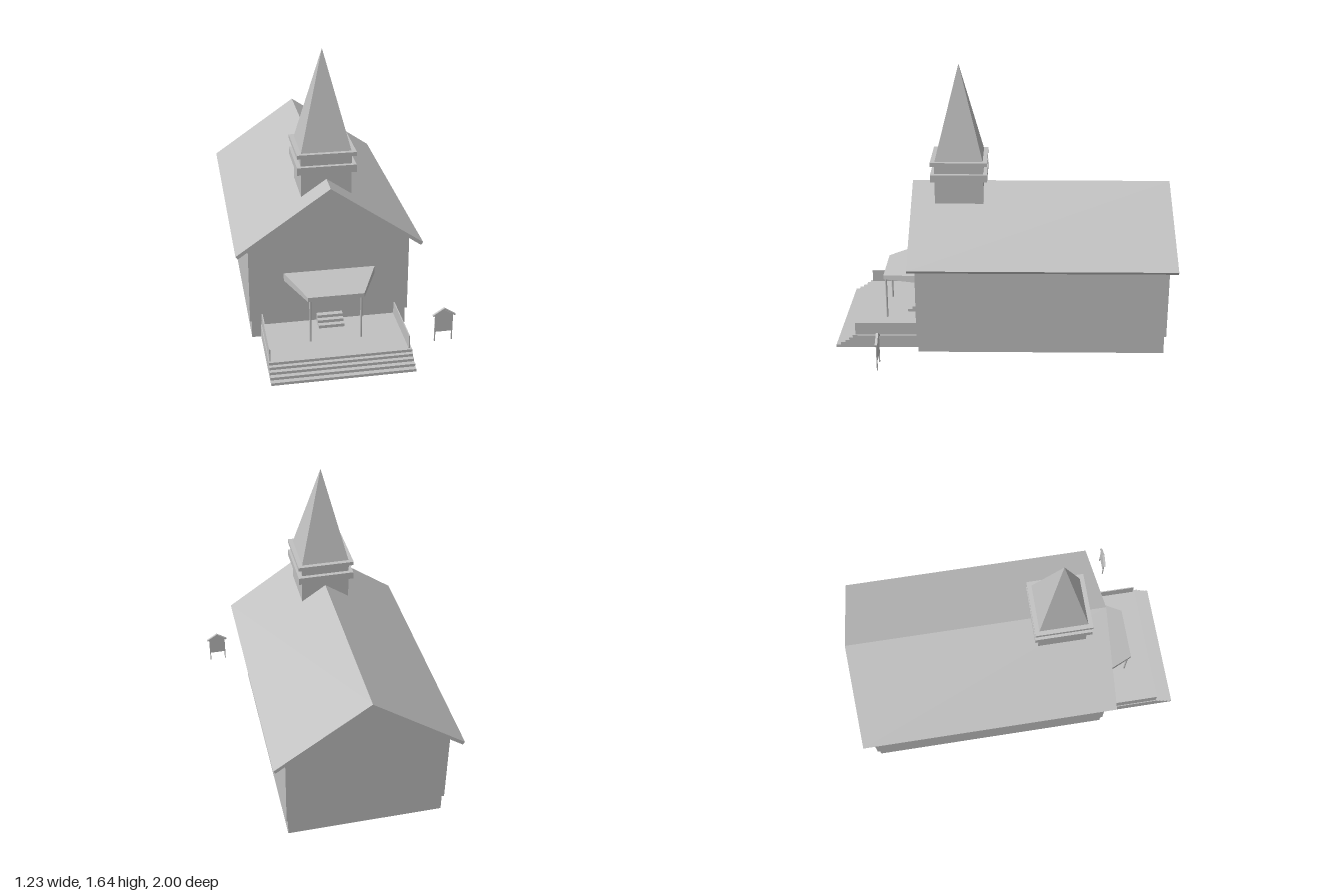
import * as THREE from 'three';

const CX = -0.08; // centre line of the building

export function createModel() {
  const root = new THREE.Group();
  root.name = 'church';
  const grey = new THREE.MeshStandardMaterial({ color: 0xc0c0c0, side: THREE.DoubleSide });
  grey.name = 'plain grey';

  const add = (name, geo, parent = root) => {
    const m = new THREE.Mesh(geo, grey);
    m.name = name;
    parent.add(m);
    return m;
  };
  const group = (name) => {
    const g = new THREE.Group();
    g.name = name;
    root.add(g);
    return g;
  };
  // Box given by its limits on each axis
  const box = (name, x0, x1, y0, y1, z0, z1, parent) => add(name,
    new THREE.BoxGeometry(x1 - x0, y1 - y0, z1 - z0)
      .translate((x0 + x1) / 2, (y0 + y1) / 2, (z0 + z1) / 2), parent);
  const shape = (pts) => new THREE.Shape(pts.map(([x, y]) => new THREE.Vector2(x, y)));
  // Outline in x/y, extruded from z0 to z1
  const slab = (name, pts, z0, z1, parent) => add(name,
    new THREE.ExtrudeGeometry(shape(pts), { depth: z1 - z0, bevelEnabled: false }).translate(0, 0, z0), parent);
  // Flat-shaded surface through rows of points
  const loft = (rows, closed) => {
    const pos = [];
    for (let i = 0; i < rows.length - 1; i++) {
      const n = rows[i].length;
      for (let j = 0; j < (closed ? n : n - 1); j++) {
        const k = (j + 1) % n;
        const a = rows[i][j], b = rows[i][k], c = rows[i + 1][k], d = rows[i + 1][j];
        pos.push(...a, ...b, ...c, ...a, ...c, ...d);
      }
    }
    const g = new THREE.BufferGeometry();
    g.setAttribute('position', new THREE.Float32BufferAttribute(pos, 3));
    g.computeVertexNormals();
    return g;
  };
  const rect = (y, hw, z0, z1) =>
    [[CX - hw, y, z1], [CX + hw, y, z1], [CX + hw, y, z0], [CX - hw, y, z0]];

  // Hollow building: foundation and walls, open underneath
  const body = group('building');
  add('foundation', loft([rect(0, 0.452, -0.95, 0.503), rect(0.11, 0.452, -0.95, 0.503),
    rect(0.11, 0.462, -0.96, 0.512)], true), body);
  add('walls', loft([rect(0.11, 0.462, -0.96, 0.512), rect(0.58, 0.462, -0.96, 0.512)], true), body);
  const gable = [[CX - 0.462, 0.58], [CX + 0.462, 0.58], [CX, 0.9]];
  add('frontGable', new THREE.ShapeGeometry(shape(gable)), body).position.z = 0.512;
  add('backGable', new THREE.ShapeGeometry(shape(gable)).rotateY(Math.PI).translate(2 * CX, 0, -0.96), body);

  // Pitched roof
  slab('roof', [[CX, 0.925], [CX - 0.534, 0.555], [CX - 0.522, 0.538], [CX, 0.902],
    [CX + 0.522, 0.538], [CX + 0.534, 0.555]], -1, 0.552, body);

  // Bell tower with two bands and a square spire
  const tower = group('steeple');
  const TZ = 0.266;
  const square = (name, h, y0, y1) => box(name, CX - h, CX + h, y0, y1, TZ - h, TZ + h, tower);
  square('towerShaft', 0.144, 0.825, 1.065);
  square('lowerBand', 0.168, 0.966, 1.01);
  square('upperBand', 0.168, 1.062, 1.085);
  add('spire', new THREE.ConeGeometry(0.142 * Math.SQRT2, 0.555, 4, 1).rotateY(Math.PI / 4)
    .toNonIndexed(), tower).position.set(CX, 1.3625, TZ);
  const spire = tower.getObjectByName('spire').geometry;
  spire.computeVertexNormals();

  // Hollow porch deck with front steps
  const porch = group('porch');
  const profile = [[0.503, 0.078], [0.9, 0.078]];
  const stepZ = [0.9, 0.922, 0.946, 0.972, 1];
  for (let i = 1; i < 5; i++) {
    const y = 0.078 - i * 0.0156;
    profile.push([stepZ[i - 1], y], [stepZ[i], y]);
  }
  profile.push([1, 0]);
  const L = -0.48, R = 0.318;
  add('deckAndSteps', loft([L, R].map((x) => profile.map(([z, y]) => [x, y, z])), false), porch);
  for (const x of [L, R]) {
    // Side skirt closes the step profile
    add('deckSide', new THREE.ShapeGeometry(shape([...profile, [0.503, 0]]))
      .rotateY(-Math.PI / 2), porch).position.x = x;
    const rx = x === L ? -0.472 : 0.304;
    box('sideRail', rx - 0.003, rx + 0.003, 0.07, 0.155, 0.503, 0.885, porch);
  }

  // Small steps and door
  for (let i = 0; i < 3; i++) {
    box('doorStep', -0.157, -0.008, 0.078, 0.13 - i * 0.017, 0.51, 0.545 + i * 0.028, porch);
  }
  box('door', -0.16, 0.003, 0.13, 0.295, 0.509, 0.514, porch);

  // Tapered canopy on two posts
  const back = [[CX - 0.264, 0.36], [CX + 0.264, 0.36], [CX + 0.264, 0.406], [CX - 0.264, 0.406]];
  const front = [[CX - 0.158, 0.337], [CX + 0.158, 0.337], [CX + 0.158, 0.363], [CX - 0.158, 0.363]];
  const at = (pts, z) => pts.map(([x, y]) => [x, y, z]);
  add('canopy', loft([at(front, 0.735), at(back, 0.51)].reverse(), true), porch);
  add('canopyFront', new THREE.ShapeGeometry(shape(front)), porch).position.z = 0.735;
  for (const s of [-1, 1]) {
    add('canopyPost', new THREE.CylinderGeometry(0.006, 0.006, 0.27, 8), porch)
      .position.set(CX + s * 0.144, 0.207, 0.722);
  }

  // Notice board beside the porch
  const sign = group('noticeBoard');
  const SX = 0.547;
  slab('board', [[SX - 0.048, 0.06], [SX + 0.048, 0.06], [SX + 0.048, 0.168], [SX, 0.2],
    [SX - 0.048, 0.168]], 0.715, 0.721, sign);
  slab('boardRoof', [[SX, 0.212], [SX - 0.067, 0.168], [SX - 0.063, 0.161], [SX, 0.203],
    [SX + 0.063, 0.161], [SX + 0.067, 0.168]], 0.711, 0.725, sign);
  for (const s of [-1, 1]) {
    box('boardPost', SX + s * 0.05 - 0.003, SX + s * 0.05 + 0.003, 0, 0.17, 0.715, 0.721, sign);
  }
  return root;
}
